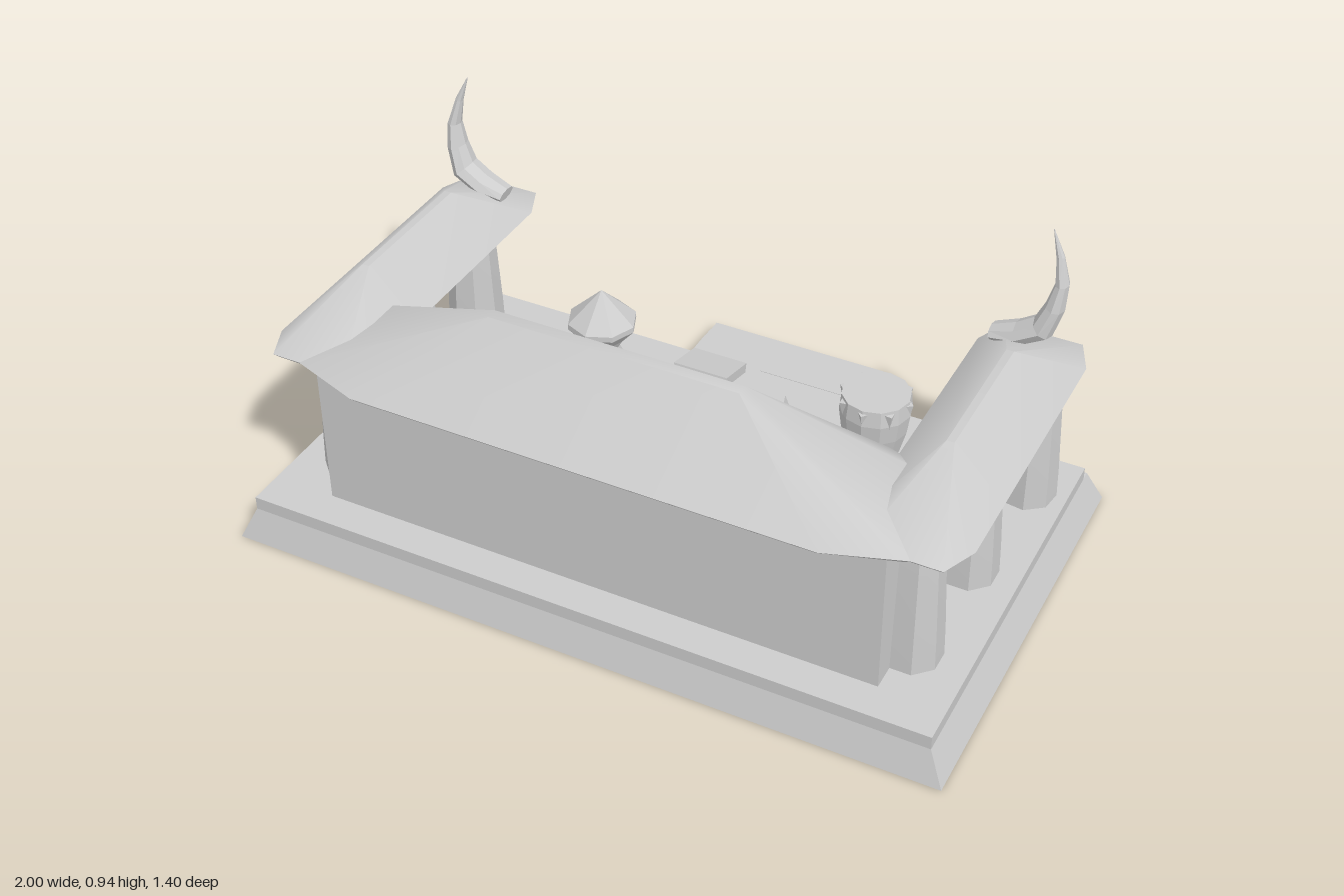
import * as THREE from 'three';
import { toCreasedNormals } from 'three/addons/utils/BufferGeometryUtils.js';

const stone = new THREE.MeshStandardMaterial({ color: 0xcccccc, side: THREE.DoubleSide });
stone.name = 'stone';

// Solid through rings of equal length, listed from bottom to top; caps are optional
function loft(rings, bottom = true) {
  const pos = [], n = rings[0].length;
  const tri = (a, b, c) => {
    const area = b.clone().sub(a).cross(c.clone().sub(a)).length();
    if (area > 1e-8) [a, b, c].forEach(v => pos.push(v.x, v.y, v.z));
  };
  for (let k = 0; k < rings.length - 1; k++) {
    const a = rings[k], b = rings[k + 1];
    for (let i = 0; i < n; i++) {
      const j = (i + 1) % n;
      tri(a[i], b[i], a[j]);
      tri(a[j], b[i], b[j]);
    }
  }
  const low = rings[0], high = rings[rings.length - 1];
  for (let i = 1; i < n - 1; i++) {
    if (bottom) tri(low[0], low[i], low[i + 1]);
    tri(high[0], high[i + 1], high[i]);
  }
  const g = new THREE.BufferGeometry();
  g.setAttribute('position', new THREE.Float32BufferAttribute(pos, 3));
  return g;
}

// Rectangle ring with cut corners: half sizes hx, hz; long edges end at lx, lz
function octagon(y, hx, hz, lx, lz) {
  return [[hx, lz], [lx, hz], [-lx, hz], [-hx, lz], [-hx, -lz], [-lx, -hz], [lx, -hz], [hx, -lz]]
    .map(([x, z]) => new THREE.Vector3(x, y, z));
}

const rectangle = (y, hx, z0, z1) =>
  [[hx, z1], [-hx, z1], [-hx, z0], [hx, z0]].map(([x, z]) => new THREE.Vector3(x, y, z));

const turned = (profile, sides) =>
  new THREE.LatheGeometry(profile.map(([r, y]) => new THREE.Vector2(r, y)), sides);

// Hipped roof with a thin eave and a narrow flat ridge
const roof = (hx, hz, lx, lz, rx, rz, top) => loft([
  octagon(0.53, hx - 0.015, hz - 0.015, lx - 0.01, lz - 0.01),
  octagon(0.546, hx, hz, lx, lz),
  octagon(top, rx, rz, rx, rz),
]);

// Tapered curved horn; s is the side of the model
function horn(s) {
  const path = [
    [0.715, 0.618, -0.26, 0.018, 0.036], [0.785, 0.635, -0.26, 0.029, 0.046],
    [0.845, 0.67, -0.262, 0.033, 0.046], [0.868, 0.735, -0.268, 0.026, 0.036],
    [0.877, 0.8, -0.275, 0.018, 0.025], [0.862, 0.87, -0.283, 0.011, 0.013],
    [0.836, 0.94, -0.29, 0.001, 0.001],
  ];
  return loft(path.map(([x, y, z, r, rz], i) => {
    const a = path[Math.max(i - 1, 0)], b = path[Math.min(i + 1, path.length - 1)];
    const t = new THREE.Vector2(s * (b[0] - a[0]), b[1] - a[1]).normalize();
    return Array.from({ length: 8 }, (_, k) => {
      const c = Math.cos(k * Math.PI / 4), d = Math.sin(k * Math.PI / 4);
      return new THREE.Vector3(s * x + t.y * r * c, y - t.x * r * c, z + rz * d);
    });
  }));
}

export function createModel() {
  const model = new THREE.Group();
  model.name = 'shrine';
  const add = (name, geometry, x = 0, y = 0, z = 0, crease = 0.05) => {
    const mesh = new THREE.Mesh(toCreasedNormals(geometry, crease), stone);
    mesh.name = name;
    mesh.position.set(x, y, z);
    model.add(mesh);
    return mesh;
  };
  const box = (name, w, y0, y1, z0, z1, x = 0) =>
    add(name, new THREE.BoxGeometry(w, y1 - y0, z1 - z0), x, (y0 + y1) / 2, (z0 + z1) / 2);

  // Hollow platform and entrance steps, open underneath
  add('foundation', loft([rectangle(0, 1, -0.49, 0.7), rectangle(0.092, 0.957, -0.459, 0.672)], false));
  box('floor', 1.914, 0.092, 0.13, -0.43, 0.672);
  const step = (name, hx, top, z0, z1) =>
    add(name, loft([rectangle(0, hx, z0, z1), rectangle(top, hx, z0, z1)], false));
  step('topStep', 0.235, 0.115, -0.535, -0.45);
  step('middleStep', 0.257, 0.077, -0.618, -0.535);
  step('bottomStep', 0.278, 0.04, -0.7, -0.618);

  // Wall with a raised panel on its inner face
  box('wall', 1.56, 0.13, 0.54, 0.47, 0.575);
  box('wallPanel', 0.36, 0.25, 0.46, 0.43, 0.475, 0.04);

  // Main roof across the wall
  add('mainRoof', roof(0.835, 0.213, 0.635, 0.145, 0.34, 0.016, 0.765), 0, 0, 0.425, 0.8);

  // Side roofs, each on three columns and topped by a horn
  const column = turned([[0, 0.13], [0.081, 0.13], [0.078, 0.22], [0.067, 0.43],
    [0.064, 0.47], [0.058, 0.535], [0, 0.535]], 8);
  const columnPlaces = [[0.805, 0.43, 0.39], [0.82, 0.09, 0.39], [0.847, -0.27, 0.25]];
  for (const s of [-1, 1]) {
    add('sideRoof', roof(0.146, 0.485, 0.105, 0.39, 0.01, 0.2, 0.68), s * 0.81, 0, 0.085, 0.8);
    for (const [x, z, turn] of columnPlaces)
      add('column', column, s * x, 0, z).rotation.y = s * turn;
    add('horn', horn(s));
  }

  // Oval dais with a lectern
  const dais = add('dais', turned([[0, 0.13], [0.208, 0.13], [0.208, 0.205], [0.193, 0.25], [0, 0.25]], 12), 0, 0, -0.135);
  dais.scale.z = 0.85;
  box('lecternPost', 0.1, 0.25, 0.37, -0.12, -0.04);
  add('lecternTop', new THREE.BoxGeometry(0.156, 0.027, 0.124), 0, 0.371, -0.092).rotation.x = -0.245;

  // Drum with pointed straps around its body
  add('drum', turned([[0, 0.13], [0.074, 0.13], [0.092, 0.2], [0.1, 0.26], [0.095, 0.308], [0, 0.308]], 12), 0.41, 0, -0.27);
  const strapShape = new THREE.ConeGeometry(0.015, 0.13, 4);
  for (let i = 0; i < 8; i++) {
    const a = i * Math.PI / 4;
    const strap = add('drumStrap', strapShape, 0.41 + Math.sin(a) * 0.084, 0.235, -0.27 + Math.cos(a) * 0.084);
    strap.rotation.set(Math.PI + 0.12, a, 0, 'YXZ');
  }

  // Lantern with a conical lid
  add('lantern', turned([[0, 0.13], [0.072, 0.13], [0.045, 0.19], [0.062, 0.22], [0.1, 0.265],
    [0.1, 0.282], [0, 0.378]], 8), -0.427, 0, -0.27);

  return model;
}
